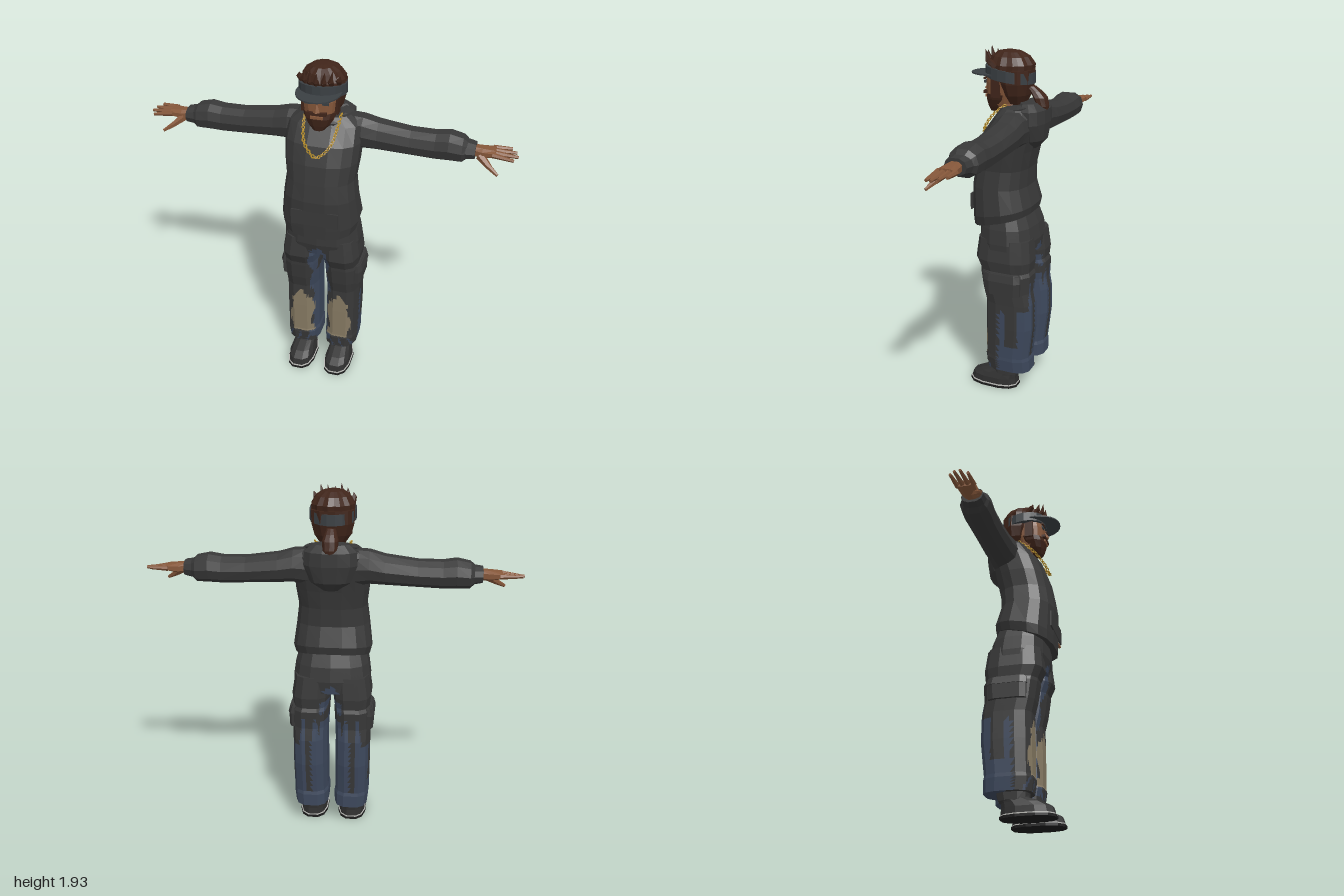
import * as THREE from 'three';

const mat = (name, color) => Object.assign(new THREE.MeshStandardMaterial({ color }), { name });

export function createModel() {
  const root = new THREE.Group();
  root.name = 'figure';
  const charcoal = mat('charcoal cloth', 0x383838), black = mat('sole black', 0x1d1d1d), boot = mat('shoe grey', 0x303030);
  const blue = mat('faded blue', 0x3d485c), tan = mat('tan patch', 0x857962), skin = mat('skin', 0x85573a);
  const hair = mat('brown hair', 0x40251a), gold = mat('gold', 0xb58d2a), band = mat('visor grey', 0x3a3f43);
  const white = mat('shoe trim', 0xb8b8b4);

  // Adds a faceted mesh; mirrored copies are flipped to the -x side
  const add = (name, geo, material, mirror = false, parent = root) => {
    const g = geo.index ? geo.toNonIndexed() : geo.clone();
    if (mirror) {
      g.scale(-1, 1, 1);
      const p = g.attributes.position, a = new THREE.Vector3(), b = new THREE.Vector3();
      for (let i = 0; i < p.count; i += 3) {
        a.fromBufferAttribute(p, i + 1);
        b.fromBufferAttribute(p, i + 2);
        p.setXYZ(i + 1, b.x, b.y, b.z);
        p.setXYZ(i + 2, a.x, a.y, a.z);
      }
    }
    g.computeVertexNormals();
    const m = new THREE.Mesh(g, material);
    m.name = name;
    parent.add(m);
    return m;
  };
  const pair = (name, geo, material) => {
    add(name + 'Left', geo, material);
    add(name + 'Right', geo, material, true);
  };

  // Lofts rings of [y, cx, cz, rx, rz, tilt]; pick chooses a material index per face
  const loft = (rings, { n = 12, e = 2.6, sub = 1, div = 1, ridge = 0, pick } = {}) => {
    const src = [...rings].sort((a, b) => a[0] - b[0]), rows = [];
    const point = (r, j) => {
      const a = ((j + 0.5) / n) * Math.PI * 2, c = Math.cos(a), s = Math.sin(a);
      const k = j % 2 ? 1 - ridge : 1;
      const dz = r[4] * k * Math.sign(s) * Math.abs(s) ** (2 / e);
      const x = r[1] + r[3] * k * Math.sign(c) * Math.abs(c) ** (2 / e);
      return new THREE.Vector3(x, r[0] + (r[5] || 0) * dz, r[2] + dz);
    };
    const ringRow = (r) => Array.from({ length: n * sub }, (_, i) =>
      point(r, Math.floor(i / sub)).lerp(point(r, (Math.floor(i / sub) + 1) % n), (i % sub) / sub));
    src.forEach((r, i) => {
      const here = ringRow(r);
      if (i) {
        const prev = ringRow(src[i - 1]);
        for (let k = 1; k < div; k++) rows.push(prev.map((p, j) => p.clone().lerp(here[j], k / div)));
      }
      rows.push(here);
    });
    const buckets = [[], [], []], N = n * sub;
    const tri = (...v) => {
      const c = new THREE.Vector3().add(v[0]).add(v[1]).add(v[2]).divideScalar(3);
      v.forEach((p) => buckets[pick ? pick(c) : 0].push(p.x, p.y, p.z));
    };
    for (let i = 0; i + 1 < rows.length; i++) for (let j = 0; j < N; j++) {
      const k = (j + 1) % N;
      tri(rows[i][j], rows[i + 1][j], rows[i + 1][k]);
      tri(rows[i][j], rows[i + 1][k], rows[i][k]);
    }
    [rows[0], rows[rows.length - 1]].forEach((row, top) => {
      const mid = row.reduce((s, p) => s.add(p), new THREE.Vector3()).divideScalar(N);
      for (let j = 0; j < N; j++) {
        const k = (j + 1) % N;
        top ? tri(mid, row[k], row[j]) : tri(mid, row[j], row[k]);
      }
    });
    const g = new THREE.BufferGeometry();
    g.setAttribute('position', new THREE.Float32BufferAttribute(buckets.flat(), 3));
    let start = 0;
    if (pick) buckets.forEach((b, i) => { g.addGroup(start, b.length / 3, i); start += b.length / 3; });
    return g;
  };
  // Tapered rod between two points
  const rod = (a, b, r0, r1, sides = 6) => {
    const p = new THREE.Vector3(...a), q = new THREE.Vector3(...b), d = q.clone().sub(p);
    const g = new THREE.CylinderGeometry(r1, r0, d.length(), sides);
    g.applyQuaternion(new THREE.Quaternion().setFromUnitVectors(new THREE.Vector3(0, 1, 0), d.normalize()));
    return g.translate(...p.add(q).multiplyScalar(0.5).toArray());
  };
  const box = (x, y, z, w, h, d) => new THREE.BoxGeometry(w, h, d).translate(x, y, z);

  // Sweatshirt body, collar and hanging hood
  add('sweatshirt', loft([[1.01, 0, 0.015, 0.205, 0.162, -0.25], [1.06, 0, 0.012, 0.218, 0.168, -0.2],
    [1.2, 0, 0.03, 0.2, 0.155], [1.3, 0, 0.02, 0.187, 0.15], [1.4, 0, 0, 0.2, 0.15], [1.5, 0, -0.03, 0.205, 0.145],
    [1.585, 0, -0.065, 0.2, 0.115], [1.63, 0, -0.065, 0.14, 0.085]], { n: 16 }), charcoal);
  add('collar', loft([[1.56, 0, -0.06, 0.13, 0.11], [1.625, 0, -0.065, 0.145, 0.115, -0.2],
    [1.64, 0, -0.065, 0.11, 0.085, -0.2]], { n: 14, e: 2.2 }), charcoal);
  add('hood', loft([[1.41, 0, -0.12, 0.05, 0.04], [1.46, 0, -0.14, 0.11, 0.065], [1.55, 0, -0.145, 0.145, 0.072],
    [1.62, 0, -0.14, 0.14, 0.075], [1.655, 0, -0.125, 0.1, 0.05]], { n: 12, e: 2.2 }), charcoal);
  add('frontPocket', box(0, 1.1, 0.177, 0.26, 0.09, 0.008), charcoal);

  // Sleeves, lofted upright and then laid along x: [x, -y, z, ry, rz]
  pair('sleeve', loft([[0.12, -1.525, -0.08, 0.1, 0.085], [0.2, -1.53, -0.08, 0.09, 0.088], [0.28, -1.518, -0.085, 0.08, 0.085],
    [0.45, -1.503, -0.085, 0.072, 0.08], [0.58, -1.5, -0.085, 0.074, 0.08], [0.65, -1.507, -0.085, 0.078, 0.085],
    [0.72, -1.5, -0.082, 0.07, 0.08], [0.745, -1.5, -0.08, 0.048, 0.062]], { n: 10, e: 2.3 }).rotateZ(-Math.PI / 2), charcoal);
  pair('cuff', loft([[0.735, -1.5, -0.08, 0.05, 0.068], [0.785, -1.5, -0.075, 0.042, 0.058]],
    { n: 10, e: 2.3 }).rotateZ(-Math.PI / 2), charcoal);

  // Hands
  pair('palm', loft([[0.77, -1.5, -0.075, 0.028, 0.034], [0.82, -1.498, -0.075, 0.028, 0.045],
    [0.885, -1.502, -0.08, 0.018, 0.05]], { n: 8 }).rotateZ(-Math.PI / 2), skin);
  [[-0.122, -0.13, 0.965], [-0.094, -0.1, 0.99], [-0.066, -0.067, 1], [-0.04, -0.033, 0.98]].forEach(([z0, z1, x], i) => {
    pair('finger' + i, rod([0.87, 1.502, z0], [x, 1.505 - i * 0.006, z1], 0.015, 0.008), skin);
  });
  pair('thumbBase', rod([0.81, 1.485, -0.05], [0.865, 1.445, -0.012], 0.024, 0.015), skin);
  pair('thumbTip', rod([0.862, 1.447, -0.014], [0.91, 1.418, 0.012], 0.015, 0.008), skin);

  // Trousers: dark cloth with ragged blue and tan areas
  const cloth = [charcoal, blue, tan];
  add('hips', loft([[1.06, 0, -0.005, 0.185, 0.135], [0.98, 0, -0.015, 0.205, 0.155], [0.9, 0, -0.02, 0.216, 0.162],
    [0.83, 0, -0.025, 0.214, 0.15]], { n: 14, sub: 4, div: 4,
    pick: (p) => (p.y < 0.885 - Math.abs(p.x) && Math.abs(p.x) < 0.045 ? 1 : 0) }), cloth);
  const legColour = ({ x, y, z }) => {
    const wave = Math.sin(y * 34 + x * 20);
    if (z > 0.035) {
      const half = Math.min(0.064 + 0.012 * wave, (0.53 - y) * 0.7);
      if (y > 0.21 && Math.abs(x - 0.112) < half) return 2;
      if (x < 0.052 + 0.012 * wave && y > 0.16) return y < 0.86 ? 1 : 0;
      return y < 0.2 && Math.sin(x * 110 + y * 40) > 0.75 ? 1 : 0;
    }
    if (x < 0.06) return y < 0.72 + 0.06 * wave ? 1 : 0;
    if (x > 0.175) {
      const top = z < -0.13 ? 0.52 : z < -0.02 && z > -0.055 ? 0.5 : 0.27;
      return z < -0.01 && y < top + 0.02 * wave ? 1 : 0;
    }
    const seam = Math.abs(x - 0.125) < 0.016 && y > 0.22;
    return z < -0.05 && y < 0.6 + 0.09 * Math.sin(x * 95) && !seam ? 1 : 0;
  };
  pair('trouserLeg', loft([[0.92, 0.105, -0.025, 0.1, 0.15], [0.8, 0.115, -0.025, 0.108, 0.163], [0.74, 0.115, -0.035, 0.1, 0.146],
    [0.72, 0.118, -0.04, 0.104, 0.15], [0.62, 0.12, -0.045, 0.1, 0.14], [0.55, 0.12, -0.06, 0.097, 0.138],
    [0.4, 0.119, -0.06, 0.098, 0.14], [0.22, 0.117, -0.05, 0.097, 0.13], [0.2, 0.115, -0.05, 0.1, 0.135],
    [0.13, 0.112, -0.055, 0.095, 0.13]], { n: 12, e: 3, sub: 4, div: 5, pick: legColour }), cloth);
  pair('cargoPocket', loft([[0.615, 0.185, -0.045, 0.05, 0.105], [0.7, 0.185, -0.045, 0.053, 0.108],
    [0.74, 0.18, -0.045, 0.045, 0.1]], { n: 8, e: 5 }), charcoal);
  pair('pocketFlap', loft([[0.695, 0.185, -0.045, 0.057, 0.112], [0.735, 0.182, -0.045, 0.05, 0.106]], { n: 8, e: 5 }), charcoal);

  // Shoes
  pair('ankle', loft([[0.09, 0.11, -0.03, 0.07, 0.08], [0.15, 0.11, -0.035, 0.075, 0.095]], { n: 10 }), charcoal);
  pair('shoe', loft([[0.02, 0.112, 0.045, 0.076, 0.142], [0.055, 0.112, 0.042, 0.074, 0.135], [0.08, 0.112, 0.018, 0.066, 0.112],
    [0.105, 0.11, -0.02, 0.06, 0.078], [0.14, 0.11, -0.03, 0.058, 0.07]], { n: 12 }), boot);
  pair('shoeTrim', loft([[0.013, 0.112, 0.046, 0.081, 0.146], [0.02, 0.112, 0.046, 0.081, 0.146]], { n: 12 }), white);
  pair('sole', loft([[0, 0.112, 0.046, 0.082, 0.148], [0.014, 0.112, 0.046, 0.082, 0.148]], { n: 12 }), black);

  // Head, face and beard
  add('head', loft([[1.55, 0, -0.025, 0.065, 0.06], [1.61, 0, -0.005, 0.06, 0.07], [1.64, 0, 0.03, 0.07, 0.08],
    [1.69, 0, 0.03, 0.086, 0.094], [1.75, 0, 0.025, 0.094, 0.1], [1.84, 0, 0.01, 0.095, 0.095]], { n: 14, e: 2.4 }), skin);
  add('nose', new THREE.ConeGeometry(0.018, 0.055, 4).rotateX(-0.2).translate(0, 1.728, 0.125), skin);
  add('beard', loft([[1.59, 0, 0.08, 0.03, 0.03], [1.62, 0, 0.065, 0.06, 0.055], [1.66, 0, 0.05, 0.082, 0.079],
    [1.688, 0, 0.04, 0.09, 0.083]], { n: 12, e: 2.3 }), hair);
  add('moustache', box(0, 1.694, 0.122, 0.1, 0.016, 0.022), hair);
  add('mouth', box(0, 1.672, 0.127, 0.066, 0.014, 0.008), skin);
  pair('sideburn', box(0.088, 1.725, 0.045, 0.018, 0.1, 0.05), hair);
  pair('eye', box(0.042, 1.75, 0.122, 0.034, 0.014, 0.008).rotateY(0.03), band);
  pair('eyebrow', box(0.042, 1.768, 0.122, 0.046, 0.01, 0.009).rotateY(0.03), hair);

  // Hair, tufts and ponytail
  add('hairBack', loft([[1.64, 0, -0.045, 0.065, 0.045], [1.69, 0, -0.045, 0.1, 0.07], [1.75, 0, -0.04, 0.117, 0.092],
    [1.82, 0, -0.035, 0.118, 0.1]], { n: 20, e: 2.2, ridge: 0.05 }), hair);
  add('hairCrown', loft([[1.79, 0, -0.005, 0.118, 0.122], [1.845, 0, -0.01, 0.117, 0.124], [1.885, 0, -0.005, 0.092, 0.1],
    [1.908, 0, 0, 0.058, 0.065], [1.915, 0, 0, 0.025, 0.03]], { n: 24, e: 2.1, ridge: 0.07 }), hair);
  [-0.095, -0.065, -0.035, -0.005, 0.03, 0.06, 0.09].forEach((x, i) => {
    const z = 0.11 - x * x * 6, top = 1.9 + (i % 3) * 0.012 - Math.abs(x) * 0.25;
    add('tuft' + i, rod([x, 1.835, z - 0.015], [x * 1.1, 1.865, z + 0.012], 0.02, 0.014, 5), hair);
    add('tuftTip' + i, rod([x * 1.1, 1.86, z + 0.01], [x * 1.15 + 0.008, top + 0.01, z + 0.018], 0.015, 0.001, 5), hair);
  });
  add('ponytail', loft([[1.6, 0, -0.2, 0.02, 0.012], [1.635, 0, -0.185, 0.042, 0.033], [1.68, 0, -0.17, 0.045, 0.04],
    [1.71, 0, -0.145, 0.034, 0.034], [1.735, 0, -0.115, 0.025, 0.03]], { n: 10, e: 2, ridge: 0.08 }), hair);

  // Visor
  add('visorBand', loft([[1.765, 0, -0.003, 0.124, 0.133, 0.14], [1.822, 0, -0.003, 0.124, 0.133, 0.14]], { n: 20, e: 2.1 }), band);
  const brim = new THREE.Shape();
  brim.moveTo(-0.116, -0.05);
  brim.bezierCurveTo(-0.13, -0.26, 0.13, -0.26, 0.116, -0.05);
  add('visorBrim', new THREE.ExtrudeGeometry(brim, { depth: 0.007, bevelEnabled: false, curveSegments: 16 })
    .rotateX(-Math.PI / 2).translate(0, 1.789, 0.006), band);

  // Neck chain of alternating links
  const arc = [[0.095, 1.64, -0.01], [0.09, 1.59, 0.055], [0.066, 1.51, 0.118]];
  const path = new THREE.CatmullRomCurve3([...arc, [0, 1.457, 0.147], ...arc.map(([x, y, z]) => [-x, y, z]).reverse()]
    .map((p) => new THREE.Vector3(...p)));
  const chain = new THREE.Group();
  chain.name = 'neckChain';
  root.add(chain);
  for (let i = 0; i <= 34; i++) {
    const link = add('link' + i, new THREE.TorusGeometry(0.008, 0.0035, 4, 7).rotateX(i % 2 ? Math.PI / 2 : 0), gold, false, chain);
    link.quaternion.setFromUnitVectors(new THREE.Vector3(1, 0, 0), path.getTangentAt(i / 34));
    link.position.copy(path.getPointAt(i / 34));
  }
  return root;
}
